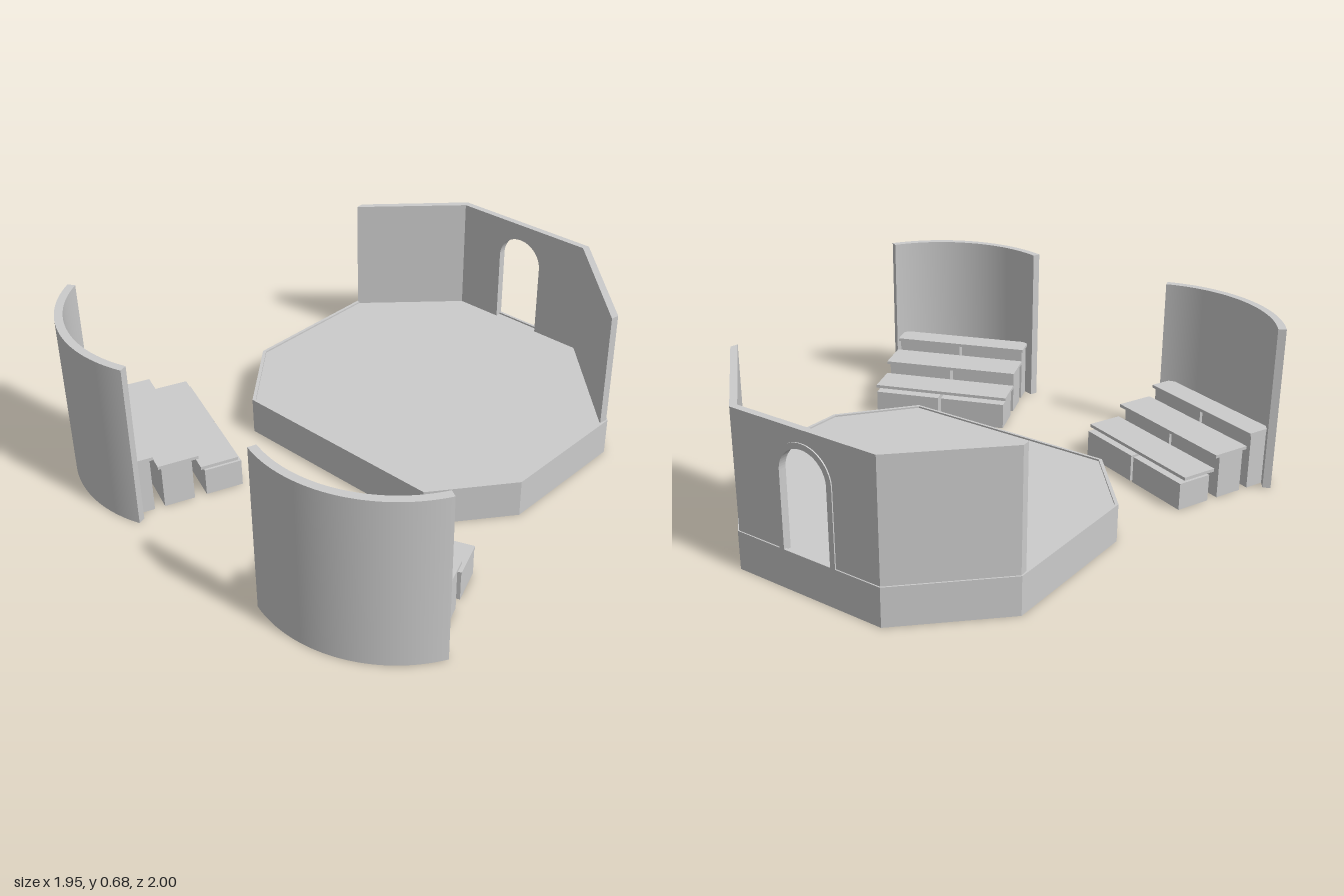
import * as THREE from 'three';
import { toCreasedNormals } from 'three/addons/utils/BufferGeometryUtils.js';

const material = new THREE.MeshStandardMaterial({ color: 0xcccccc });

function add(parent, name, geometry) {
  const mesh = new THREE.Mesh(geometry, material);
  mesh.name = name;
  parent.add(mesh);
  return mesh;
}

const extrude = (shape, depth) => toCreasedNormals(
  new THREE.ExtrudeGeometry(shape, { depth, bevelEnabled: false, curveSegments: 32 }), 0.5);

// Plan outline given as [x, z] corners
const toPoints = (plan) => plan.map(([x, z]) => new THREE.Vector2(x, -z));

// Raise a plan shape from y0 to y1
const raise = (shape, y0, y1) => extrude(shape, y1 - y0).rotateX(-Math.PI / 2).translate(0, y0, 0);

function createStage() {
  const stage = new THREE.Group();
  stage.name = 'stage';
  const plan = [[-0.355, -1], [0.292, -1], [0.703, -0.592], [0.693, -0.038],
    [0.463, 0.252], [-0.449, 0.252], [-0.692, -0.04], [-0.69, -0.668]];

  // Octagonal platform, open underneath: thin skirt and a floor just below its rim
  const inner = plan.map(([x, z]) => [x * 0.982, -0.374 + (z + 0.374) * 0.982]);
  const skirt = new THREE.Shape(toPoints(plan));
  // The hole runs the other way round so that its walls face inwards
  skirt.holes.push(new THREE.Path(toPoints(inner).reverse()));
  add(stage, 'platformSkirt', raise(skirt, 0, 0.154));
  add(stage, 'platformFloor', raise(new THREE.Shape(toPoints(inner)), 0.138, 0.147));

  // Slanted side walls, set slightly in from the platform edge
  const top = 0.63, base = 0.147;
  const sides = {
    leftWall: [[0.28, -0.995], [0.29, -0.995], [0.698, -0.59], [0.692, -0.557], [0.28, -0.967]],
    rightWall: [[-0.34, -0.995], [-0.352, -0.995], [-0.685, -0.665], [-0.682, -0.632], [-0.34, -0.967]],
  };
  for (const [name, corners] of Object.entries(sides)) {
    add(stage, name, raise(new THREE.Shape(toPoints(corners)), base, top));
  }

  // Back wall with an arched doorway; the opening cuts through its lower edge
  const cx = -0.035, r = 0.105, spring = 0.455;
  const wall = new THREE.Shape();
  wall.moveTo(-0.34, base);
  wall.lineTo(cx - r, base);
  wall.lineTo(cx - r, spring);
  wall.absarc(cx, spring, r, Math.PI, 0, true);
  wall.lineTo(cx + r, base);
  wall.lineTo(0.28, base);
  wall.lineTo(0.28, top);
  wall.lineTo(-0.34, top);
  wall.closePath();
  add(stage, 'backWall', extrude(wall, 0.028).translate(0, 0, -0.995));

  // Thin trim around the doorway on the outside
  const trim = new THREE.Shape();
  const ro = r + 0.022;
  trim.moveTo(cx - ro, base);
  trim.lineTo(cx - r, base);
  trim.lineTo(cx - r, spring);
  trim.absarc(cx, spring, r, Math.PI, 0, true);
  trim.lineTo(cx + r, base);
  trim.lineTo(cx + ro, base);
  trim.lineTo(cx + ro, spring);
  trim.absarc(cx, spring, ro, 0, Math.PI, false);
  trim.closePath();
  add(stage, 'doorTrim', extrude(trim, 0.005).translate(0, 0, -1));
  return stage;
}

// Seating block: curved screen behind three stepped benches
function createSeating(name) {
  const group = new THREE.Group();
  group.name = name;

  const half = THREE.MathUtils.degToRad(39.8);
  const a0 = -Math.PI / 2 - half, a1 = -Math.PI / 2 + half;
  const screen = new THREE.Shape();
  screen.absarc(0, 0, 0.542, a0, a1, false);
  screen.absarc(0, 0, 0.51, a1, a0, true);
  screen.closePath();
  add(group, 'curvedScreen', raise(screen, 0, 0.675));

  // Each row: depth range and height of the boxes, depth range and underside of the board
  const rows = [
    { box: [-0.018, 0.13], height: 0.112, board: [-0.003, 0.147], under: 0.125 },
    { box: [0.178, 0.298], height: 0.18, board: [0.152, 0.312], under: 0.18 },
    { box: [0.338, 0.438], height: 0.23, board: [0.326, 0.43], under: 0.23 },
  ];
  rows.forEach(({ box, height, board, under }, i) => {
    const row = new THREE.Group();
    row.name = `benchRow${i + 1}`;
    group.add(row);
    // A pair of boxes with a gap between them
    for (const s of [-1, 1]) {
      const base = add(row, 'benchBox', new THREE.BoxGeometry(0.284, height, box[1] - box[0]));
      base.position.set(s * 0.149, height / 2, (box[0] + box[1]) / 2);
    }
    // One board along the whole row
    const seat = add(row, 'seatBoard', new THREE.BoxGeometry(0.596, 0.013, board[1] - board[0]));
    seat.position.set(0, under + 0.0065, (board[0] + board[1]) / 2);
  });
  return group;
}

export function createModel() {
  const model = new THREE.Group();
  model.name = 'stageSet';
  model.add(createStage());

  const left = createSeating('leftSeating');
  left.position.set(0.503, 0, 0.457);
  left.rotation.y = THREE.MathUtils.degToRad(20.8);
  const right = createSeating('rightSeating');
  right.position.set(-0.499, 0, 0.438);
  right.rotation.y = THREE.MathUtils.degToRad(-21.6);
  model.add(left, right);
  return model;
}
